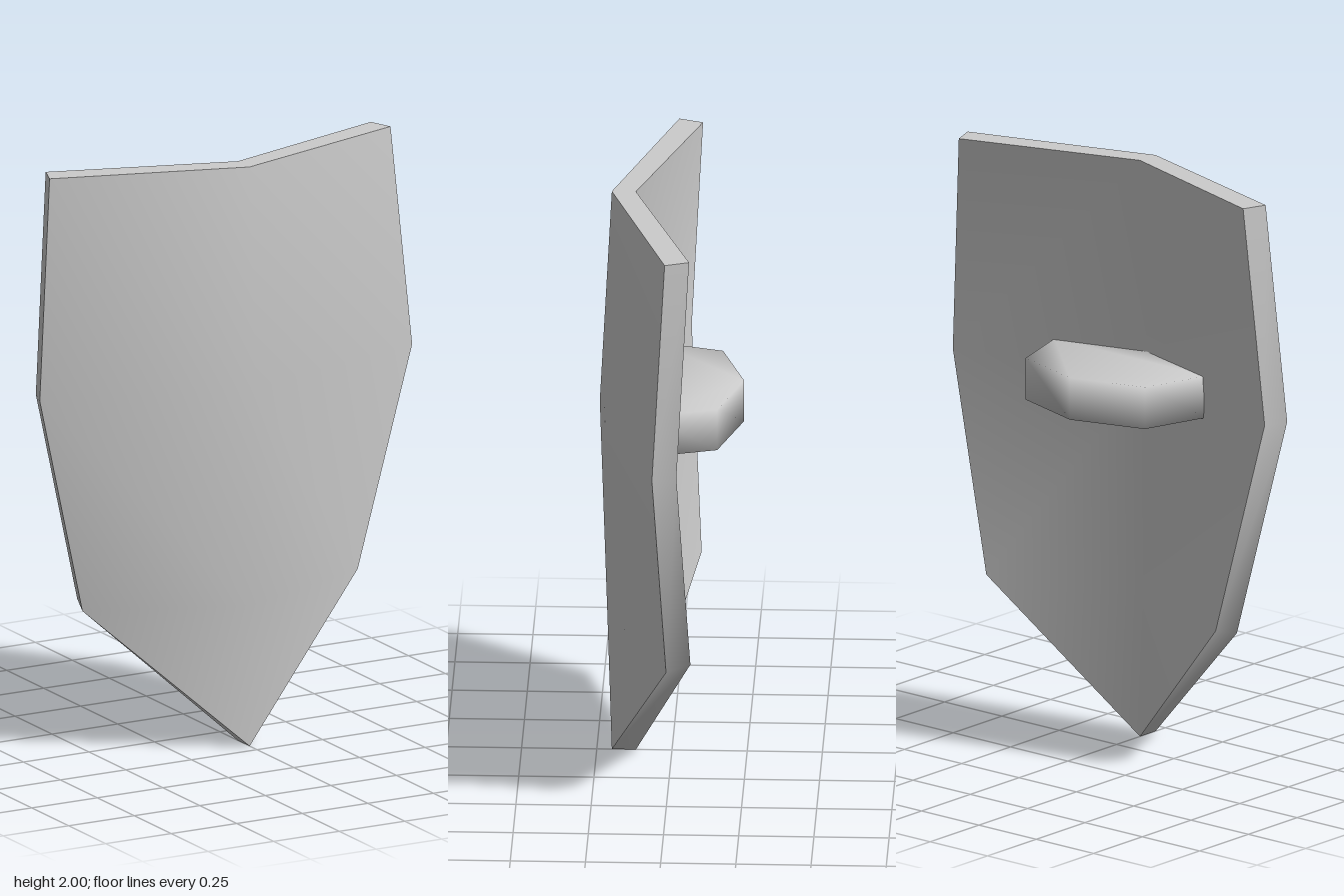
import * as THREE from 'three';
import { mergeVertices, toCreasedNormals } from 'three/addons/utils/BufferGeometryUtils.js';

// One face of the shield: three V-shaped rows plus the bottom tip.
// Each row is [half width, y, edge z, centre z].
function facePoints(rows, tip) {
  const points = [];
  for (const [w, y, edge, centre] of rows) {
    points.push([-w, y, edge], [0, y, centre], [w, y, edge]);
  }
  points.push(tip);
  return points;
}

function plateGeometry() {
  const front = facePoints([[0.65, 2, 0, 0.2], [0.71, 1.25, 0.04, 0.24], [0.525, 0.49, 0, 0.215]], [0, 0, 0.2]);
  const back = facePoints([[0.62, 2, -0.08, 0.12], [0.68, 1.25, -0.04, 0.16], [0.5, 0.51, -0.08, 0.135]], [0, 0, 0.12]);
  const positions = [];
  const triangle = (a, b, c) => positions.push(...a, ...b, ...c);
  const quad = (a, b, c, d) => { triangle(a, b, c); triangle(a, c, d); };

  // Front and back faces
  for (let row = 0; row < 2; row++) {
    for (let col = 0; col < 2; col++) {
      const i = row * 3 + col;
      quad(front[i], front[i + 3], front[i + 4], front[i + 1]);
      quad(back[i], back[i + 1], back[i + 4], back[i + 3]);
    }
  }
  for (const i of [6, 7]) {
    triangle(front[i], front[9], front[i + 1]);
    triangle(back[i], back[i + 1], back[9]);
  }

  // Rim around the outline
  const outline = [0, 3, 6, 9, 8, 5, 2, 1];
  outline.forEach((i, n) => {
    const j = outline[(n + 1) % outline.length];
    quad(front[i], back[i], back[j], front[j]);
  });

  const geometry = new THREE.BufferGeometry();
  geometry.setAttribute('position', new THREE.Float32BufferAttribute(positions, 3));
  return toCreasedNormals(geometry, THREE.MathUtils.degToRad(50));
}

// Solid grip block with soft shading, its inner side sunk into the plate
function gripGeometry() {
  const profile = [[0, -0.24], [0.26, -0.16], [0.33, 0.07], [0, 0.17], [-0.33, 0.07], [-0.26, -0.16]];
  const shape = new THREE.Shape(profile.map(([x, z]) => new THREE.Vector2(x, z)));
  const block = new THREE.ExtrudeGeometry(shape, { depth: 0.145, bevelEnabled: false });
  block.rotateX(Math.PI / 2).translate(0, 1.328, 0);
  block.deleteAttribute('normal');
  block.deleteAttribute('uv');
  const geometry = mergeVertices(block);
  geometry.computeVertexNormals();
  return geometry;
}

export function createModel() {
  const grey = new THREE.MeshStandardMaterial({ color: 0xcccccc });
  grey.name = 'light grey';

  const group = new THREE.Group();
  group.name = 'shield';

  const plate = new THREE.Mesh(plateGeometry(), grey);
  plate.name = 'plate';
  const grip = new THREE.Mesh(gripGeometry(), grey);
  grip.name = 'grip';

  group.add(plate, grip);
  return group;
}
